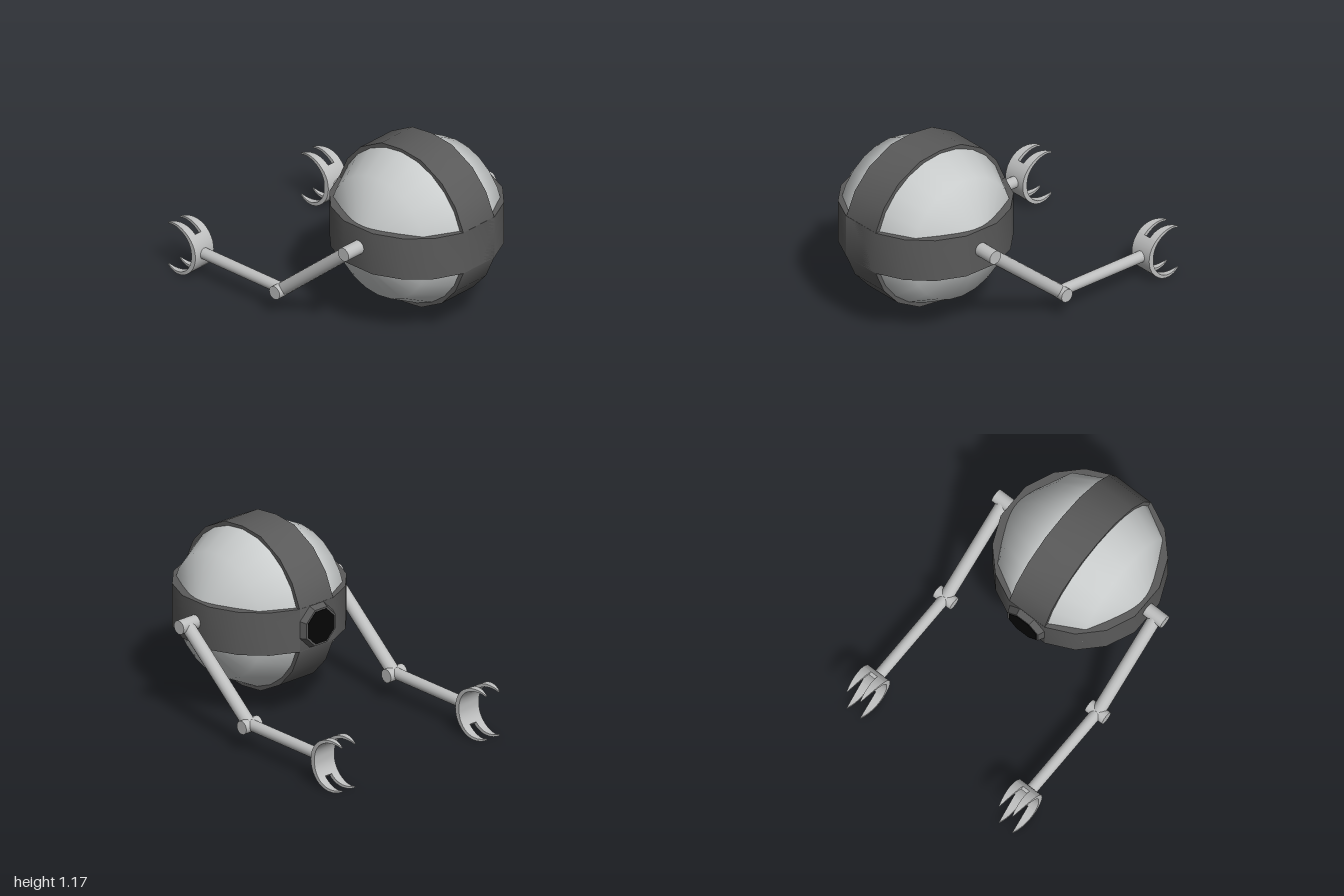
import * as THREE from 'three';
import { toCreasedNormals } from 'three/addons/utils/BufferGeometryUtils.js';

const light = new THREE.MeshStandardMaterial({ color: 0xc9cccc, name: 'panelGrey' });
const steel = new THREE.MeshStandardMaterial({ color: 0xbebfbf, name: 'armGrey' });
const dark = new THREE.MeshStandardMaterial({ color: 0x5a5a5a, name: 'bandGrey' });
const black = new THREE.MeshStandardMaterial({ color: 0x050505, name: 'eyeBlack' });

const CX = 0.47, CY = 0.645, R = 0.53;

function add(parent, name, geometry, material, x = 0, y = 0, z = 0) {
  const mesh = new THREE.Mesh(geometry, material);
  mesh.name = name;
  mesh.position.set(x, y, z);
  parent.add(mesh);
  return mesh;
}

// Flat-edged band: a many-sided disc whose corner angles are given for one quarter
function bandGeometry(quarter, halfWidth) {
  const q = quarter.map(a => a * Math.PI / 180);
  const back = q.map(a => Math.PI - a).reverse();
  const half = [...q, ...back.filter(a => Math.abs(a - Math.PI / 2) > 1e-3)];
  const all = [...half, ...half.map(a => a + Math.PI)];
  const points = all.map(a => new THREE.Vector2(Math.cos(a) * R / 0.985, Math.sin(a) * R / 0.985));
  // keep the flats and corners inside the overall radius
  points.forEach(p => p.clampScalar(-R, R));
  const g = new THREE.ExtrudeGeometry(new THREE.Shape(points), { depth: halfWidth * 2, bevelEnabled: false });
  g.translate(0, 0, -halfWidth);
  return toCreasedNormals(g, 0.6);
}

// Curved bar with a rectangular section; section(t) gives angle, radii and z limits
function curvedBar(section, steps) {
  const pos = [], idx = [];
  for (let i = 0; i <= steps; i++) {
    const { a, rIn, rOut, z0, z1 } = section(i / steps);
    for (const [r, z] of [[rOut, z0], [rOut, z1], [rIn, z1], [rIn, z0]]) {
      pos.push(Math.cos(a) * r, Math.sin(a) * r, z);
    }
  }
  for (let i = 0; i < steps; i++) {
    for (let k = 0; k < 4; k++) {
      const a = i * 4 + k, b = i * 4 + (k + 1) % 4;
      idx.push(a, a + 4, b, b, a + 4, b + 4);
    }
  }
  const e = steps * 4;
  idx.push(0, 1, 2, 0, 2, 3, e, e + 2, e + 1, e, e + 3, e + 2);
  const g = new THREE.BufferGeometry();
  g.setAttribute('position', new THREE.Float32BufferAttribute(pos, 3));
  g.setIndex(idx);
  return toCreasedNormals(g, 0.6);
}

function rod(parent, name, from, to, radius) {
  const a = new THREE.Vector3(...from), b = new THREE.Vector3(...to);
  const dir = b.clone().sub(a);
  const mesh = add(parent, name, new THREE.CylinderGeometry(radius, radius, dir.length(), 16), steel);
  mesh.position.copy(a).add(b).multiplyScalar(0.5);
  mesh.quaternion.setFromUnitVectors(new THREE.Vector3(0, 1, 0), dir.normalize());
}

function createClaw() {
  const claw = new THREE.Group();
  claw.name = 'claw';
  const split = 0.82, tip = 2.1, r = 0.17;
  const thickness = a => 0.035 - 0.025 * Math.abs(a) / tip;

  // Palm
  add(claw, 'palm', curvedBar(t => {
    const a = split * (2 * t - 1);
    return { a, rOut: r, rIn: r - thickness(a), z0: -0.082, z1: 0.082 };
  }, 10), steel);

  // Four tapering fingers
  for (const up of [1, -1]) for (const side of [1, -1]) {
    add(claw, 'finger', curvedBar(s => {
      const t = up > 0 ? s : 1 - s;
      const a = up * (split + (tip - split) * t);
      const inner = 0.026 + 0.025 * t * t, outer = 0.082 - 0.028 * t * t;
      return {
        a, rOut: r, rIn: r - thickness(a),
        z0: side > 0 ? inner : -outer, z1: side > 0 ? outer : -inner,
      };
    }, 9), steel);
  }
  return claw;
}

function createArm(side) {
  const arm = new THREE.Group();
  arm.name = side > 0 ? 'frontArm' : 'rearArm';
  const z = 0.595 * side;
  rod(arm, 'shoulder', [0.473, 0.65, 0.5 * side], [0.473, 0.65, 0.66 * side], 0.045);
  rod(arm, 'upperArm', [0.473, 0.65, z], [-0.1, 0.167, z], 0.043);
  rod(arm, 'elbow', [-0.1, 0.167, 0.528 * side], [-0.1, 0.167, 0.662 * side], 0.044);
  rod(arm, 'forearm', [-0.1, 0.172, z], [-0.765, 0.172, z], 0.037);
  const claw = createClaw();
  claw.position.set(-0.915, 0.171, z);
  arm.add(claw);
  return arm;
}

export function createModel() {
  const model = new THREE.Group();
  model.name = 'roundRobot';

  // Faceted ball seen between the bands
  const half = [[0, 0.51], [0.145, 0.495], [0.405, 0.345], [0.51, 0.14]];
  const profile = [...half.map(([r, h]) => [r, -h]), ...half.slice().reverse()]
    .map(([r, h]) => new THREE.Vector2(r, h));
  const ball = new THREE.LatheGeometry(profile, 24);
  ball.rotateX(Math.PI / 2);
  add(model, 'bodyPanels', ball, light, CX, CY, 0);

  // Crossing bands
  add(model, 'uprightBand', bandGeometry([15, 33, 51, 72, 90], 0.138), dark, CX, CY, 0);
  const level = bandGeometry([15, 35.5, 56, 77], 0.142);
  level.rotateX(Math.PI / 2);
  add(model, 'levelBand', level, dark, CX, CY, 0);

  // Eye: eight-sided tapered rim with a black lens
  const rim = new THREE.CylinderGeometry(0.128, 0.152, 0.05, 8).toNonIndexed();
  rim.rotateY(Math.PI / 8);
  rim.rotateZ(Math.PI / 2);
  rim.computeVertexNormals();
  add(model, 'eyeRim', rim, dark, -0.065, CY + 0.003, 0);
  const lens = new THREE.CylinderGeometry(0.116, 0.116, 0.004, 8);
  lens.rotateY(Math.PI / 8);
  lens.rotateZ(Math.PI / 2);
  add(model, 'eyeLens', lens, black, -0.091, CY + 0.003, 0);

  model.add(createArm(1), createArm(-1));
  return model;
}
